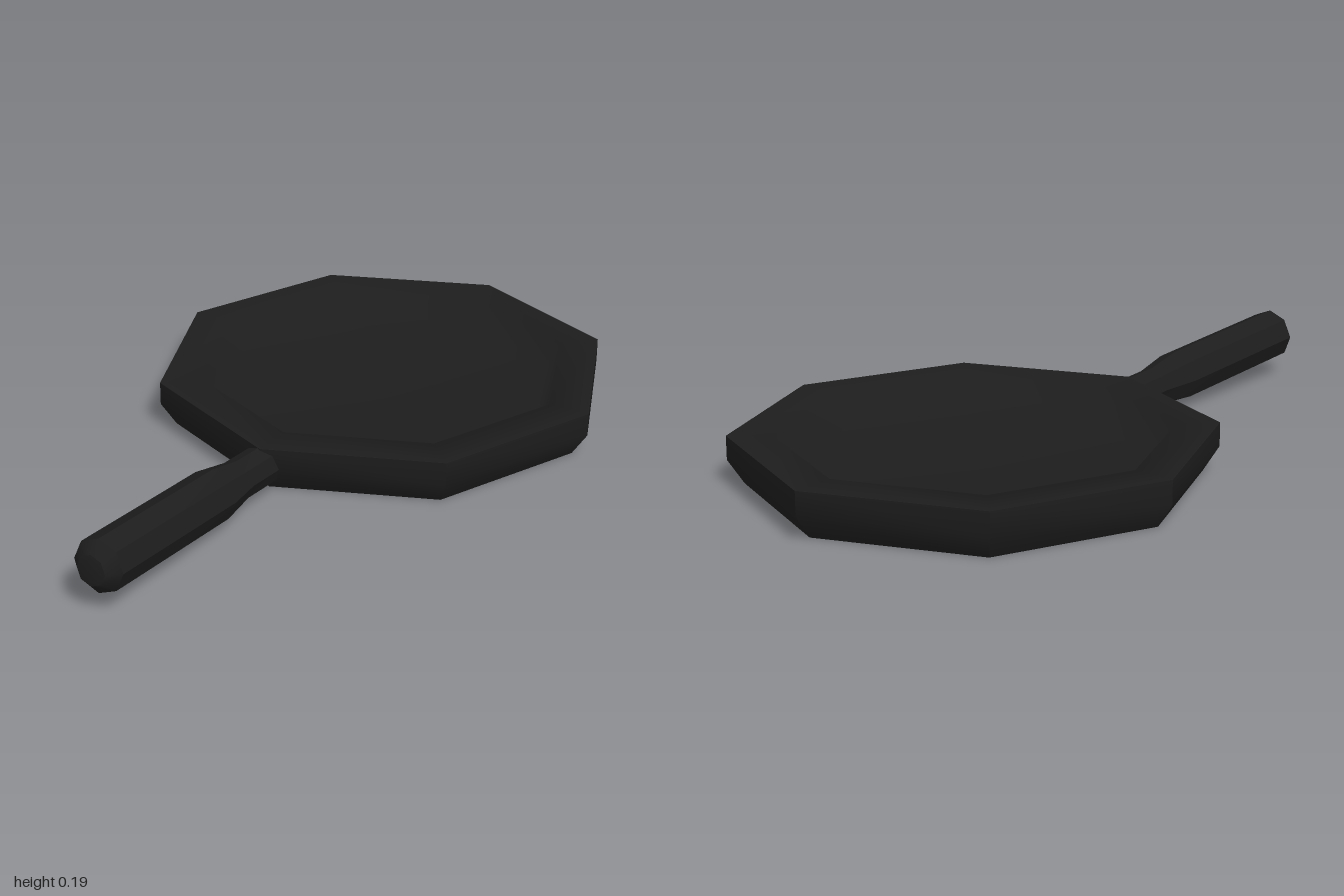
import * as THREE from 'three';
import { toCreasedNormals } from 'three/addons/utils/BufferGeometryUtils.js';

const SIDES = 8;

// Octagonal turned part from [radius, height] pairs
function turned(profile) {
  return new THREE.LatheGeometry(profile.map(([r, y]) => new THREE.Vector2(r, y)), SIDES);
}

export function createModel() {
  const model = new THREE.Group();
  model.name = 'fryingPan';
  const iron = new THREE.MeshStandardMaterial({ color: 0x1d1d1d });

  function add(name, geometry, x, y, z) {
    const mesh = new THREE.Mesh(geometry, iron);
    mesh.name = name;
    mesh.position.set(x, y, z);
    model.add(mesh);
    return mesh;
  }

  // Underside, chamfer and upright wall
  const body = turned([[0, 0], [0.597, 0], [0.64, 0.065], [0.64, 0.13]]);
  add('panBody', toCreasedNormals(body, 0.6), 0, 0, -0.36);

  // Rim, inner wall and floor, shaded softly as one surface
  add('cookingSurface', turned([[0.64, 0.13], [0.525, 0.13], [0.48, 0.035], [0, 0.035]]), 0, 0, -0.36);

  // Handle: slim neck, thicker grip and bevelled tip, rising slightly to the front
  const grip = turned([
    [0, 0], [0.055, 0], [0.055, 0.18], [0.073, 0.29],
    [0.073, 0.767], [0.042, 0.798], [0.031, 0.8], [0, 0.8],
  ]);
  const handle = add('handle', toCreasedNormals(grip, 0.6), -0.008, 0.069, 0.2);
  handle.rotation.x = Math.PI / 2 - 0.0625;

  return model;
}
